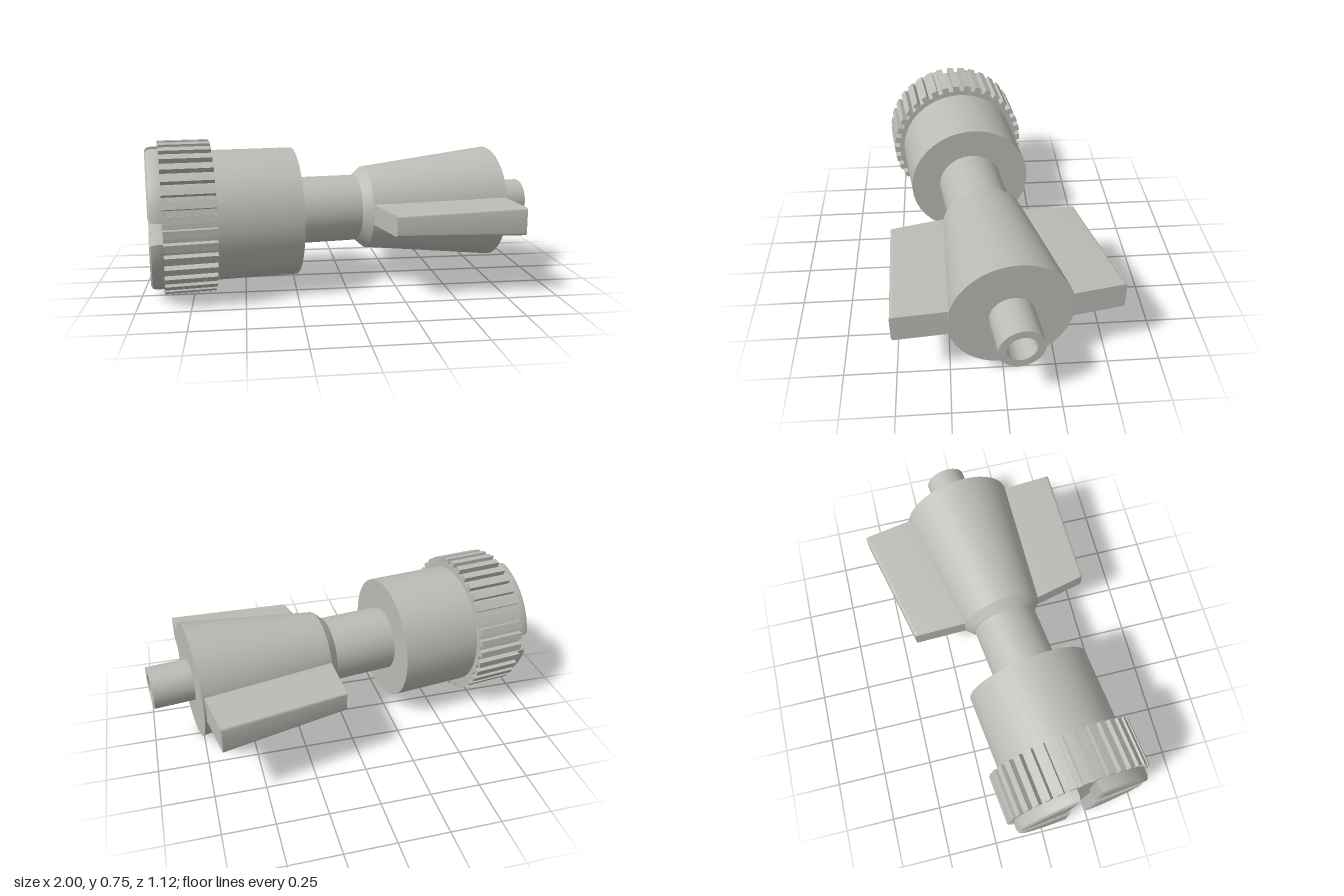
import * as THREE from 'three';
import { toCreasedNormals } from 'three/addons/utils/BufferGeometryUtils.js';

const TILT = 0.131; // whole part is yawed slightly about the vertical
const lerp = THREE.MathUtils.lerp;

export function createModel() {
  const grey = new THREE.MeshStandardMaterial({ color: 0xbcbcb6 });
  grey.name = 'plain grey';
  const model = new THREE.Group();
  model.name = 'knurledConnector';
  const add = (name, geometry) => {
    const mesh = new THREE.Mesh(toCreasedNormals(geometry, 0.45), grey);
    mesh.name = name;
    model.add(mesh);
    return mesh;
  };

  // Turned parts: profiles of [radius, position along the axis]
  const turned = (name, profile) => {
    const points = profile.map(([r, s]) => new THREE.Vector2(r, s));
    return add(name, new THREE.LatheGeometry(points, 40).rotateZ(-Math.PI / 2));
  };
  turned('body', [[0, -0.9], [0.32, -0.9], [0.32, -0.26], [0.1, -0.26]]);
  turned('neck', [[0.168, -0.3], [0.168, 0.09]]);
  turned('taperedHub', [[0.1, 0.065], [0.17, 0.065], [0.21, 0.11], [0.29, 0.79], [0.08, 0.79]]);
  turned('endTube', [[0.105, 0.7], [0.105, 0.99], [0.067, 0.99], [0.067, -0.5], [0, -0.5]]);

  // Knurled collar with square teeth
  const teeth = 36, root = 0.345, tip = 0.374;
  const collarOutline = [];
  for (let i = 0; i < teeth; i++) {
    const a = (i / teeth) * Math.PI * 2, step = (Math.PI * 2) / teeth;
    for (const [r, f] of [[root, -0.29], [tip, -0.27], [tip, 0.27], [root, 0.29]]) {
      collarOutline.push(new THREE.Vector2(r * Math.cos(a + f * step), r * Math.sin(a + f * step)));
    }
  }
  const collar = new THREE.ExtrudeGeometry(new THREE.Shape(collarOutline), { depth: 0.242, bevelEnabled: false });
  add('knurledCollar', collar.rotateY(Math.PI / 2).translate(-0.91, 0, 0));

  // Four cap segments separated by a cross-shaped slot
  const gap = 0.048, capRadius = 0.345, start = Math.asin(gap / capRadius);
  for (let i = 0; i < 4; i++) {
    const segment = new THREE.Shape();
    segment.moveTo(gap + 0.03, gap);
    segment.absarc(0, 0, capRadius, start, Math.PI / 2 - start, false);
    segment.lineTo(gap, gap + 0.03);
    segment.closePath();
    const geometry = new THREE.ExtrudeGeometry(segment, {
      depth: 0.055, bevelThickness: 0.025, bevelSize: 0.02, bevelOffset: -0.02,
      bevelSegments: 2, curveSegments: 12,
    });
    geometry.rotateY(-Math.PI / 2).translate(-0.892, 0, 0).rotateX((i * Math.PI) / 2);
    add('capSegment' + (i + 1), geometry);
  }

  // Side fins: a round-edged profile swept along the hub, then tapered
  const finGeometry = () => {
    const h = 0.068, r = 0.016;
    const profile = new THREE.Shape();
    profile.moveTo(0.1, -h);
    profile.lineTo(0.5 - r, -h);
    profile.quadraticCurveTo(0.5, -h, 0.5, -h + r);
    profile.lineTo(0.5, h - r);
    profile.quadraticCurveTo(0.5, h, 0.5 - r, h);
    profile.lineTo(0.1, h);
    profile.closePath();
    const geometry = new THREE.ExtrudeGeometry(profile, { depth: 1, bevelEnabled: false, curveSegments: 4 });
    const p = geometry.attributes.position;
    for (let i = 0; i < p.count; i++) {
      const w = p.getZ(i), k = (p.getX(i) - 0.1) / 0.4;
      const along = lerp(0.1 + 0.039 * k, 0.788 - 0.021 * k, w);
      const out = 0.1 + k * (lerp(0.473, 0.536, w) - 0.1);
      p.setXYZ(i, along, -p.getY(i) * lerp(0.74, 1, w), out);
    }
    return geometry;
  };
  add('leftFin', finGeometry()).name = 'frontFin';
  add('backFin', finGeometry().rotateX(Math.PI));

  model.rotation.y = TILT;
  model.position.set(0, 0.375, 0.069);
  const root3d = new THREE.Group();
  root3d.name = 'connector';
  root3d.add(model);
  return root3d;
}
